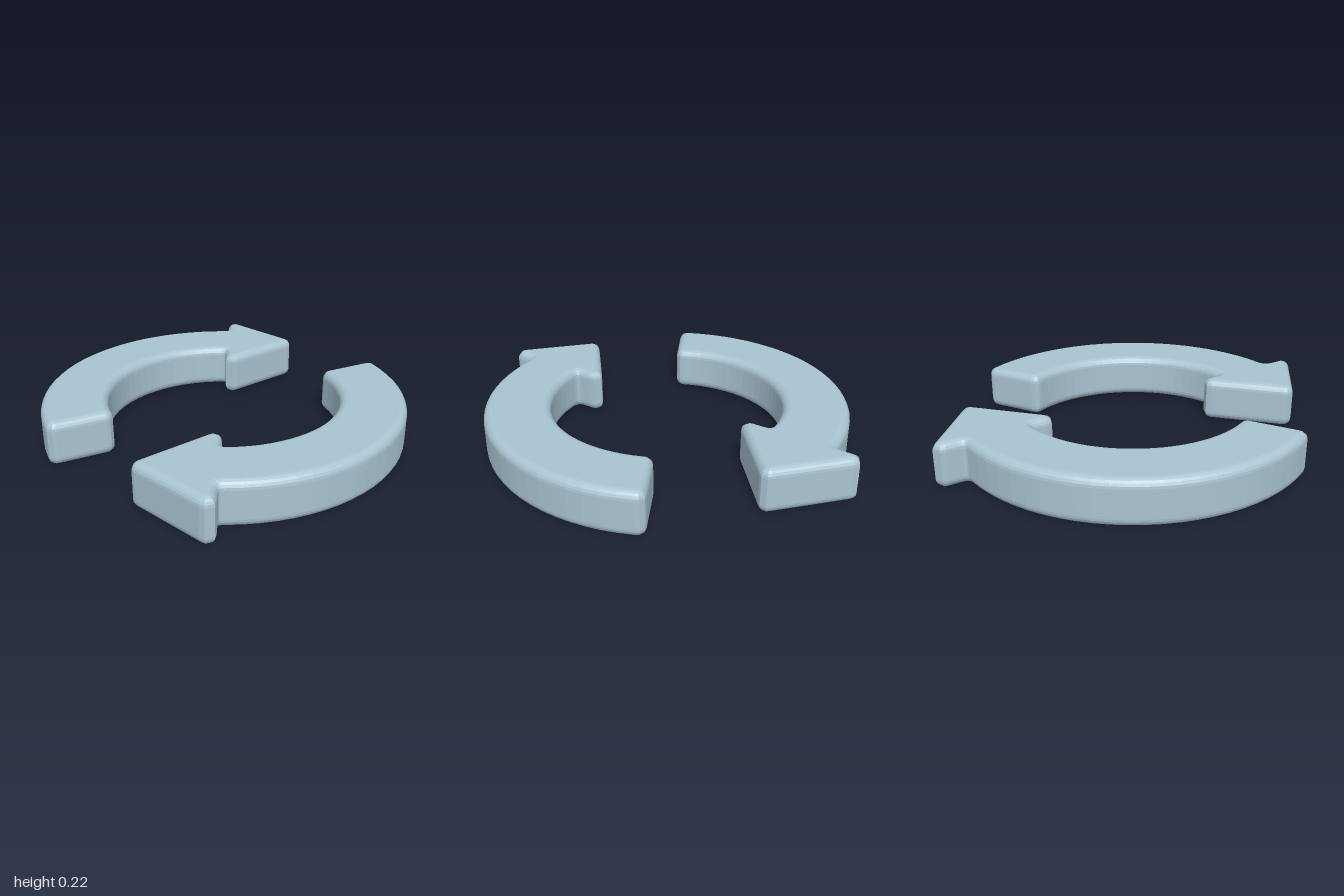
import * as THREE from 'three';

const BEVEL = 0.04, HEIGHT = 0.217;
const OUTER = 0.85, INNER = 0.61; // radii of the flat top face, inside the bevel

const V = (x, y) => new THREE.Vector2(x, y);
const polar = (r, deg) => V(r * Math.cos(deg * Math.PI / 180), r * Math.sin(deg * Math.PI / 180));

// Points along a circular arc, in degrees
function arc(r, from, to, n) {
  return Array.from({ length: n + 1 }, (_, i) => polar(r, from + (to - from) * i / n));
}

// Rounds the corner p between neighbours a and b, starting a distance d from p
function corner(a, p, b, d, n) {
  const start = p.clone().add(a.clone().sub(p).setLength(d));
  const end = p.clone().add(b.clone().sub(p).setLength(d));
  return new THREE.QuadraticBezierCurve(start, p, end).getPoints(n);
}

// Curved arrow outline, seen from above with the back upward
function arrowShape() {
  const barbOut = V(0.2, 0.96), tip = V(0.436, 0.667), barbIn = V(0.113, 0.473);
  const notchOut = V(0.177, 0.831), notchIn = V(0.135, 0.597);
  const outer = arc(OUTER, 195.8, 82.6, 24);
  const inner = arc(INNER, 84, 194.6, 24);
  const tailOut = polar(OUTER, 196.3), tailIn = polar(INNER, 195.2);
  const tiny = 0.005;
  return new THREE.Shape([
    ...corner(tailIn, tailOut, outer[1], tiny, 3),
    ...outer.slice(1, -1),
    // arrowhead with filleted notches
    ...corner(outer.at(-1), notchOut, barbOut, 0.07, 6),
    ...corner(notchOut, barbOut, tip, tiny, 3),
    ...corner(barbOut, tip, barbIn, tiny, 3),
    ...corner(tip, barbIn, notchIn, tiny, 3),
    ...corner(barbIn, notchIn, inner[0], 0.07, 6),
    ...inner.slice(1, -1),
    ...corner(inner.at(-2), tailIn, tailOut, tiny, 3),
  ]);
}

export function createModel() {
  const group = new THREE.Group();
  group.name = 'rotatingArrows';
  const paleBlue = new THREE.MeshStandardMaterial({ color: 0xa9c4d2 });
  paleBlue.name = 'paleBlue';

  // Thick slab with rounded edges, laid flat on the ground
  const geometry = new THREE.ExtrudeGeometry(arrowShape(), {
    depth: HEIGHT - 2 * BEVEL,
    bevelSize: BEVEL,
    bevelThickness: BEVEL,
    bevelSegments: 5,
  });
  geometry.rotateX(-Math.PI / 2);
  geometry.translate(0, BEVEL, 0);

  // Two arrows chasing each other, half a turn apart
  ['backArrow', 'frontArrow'].forEach((name, i) => {
    const arrow = new THREE.Mesh(geometry, paleBlue);
    arrow.name = name;
    arrow.rotation.y = i * Math.PI;
    group.add(arrow);
  });
  return group;
}
